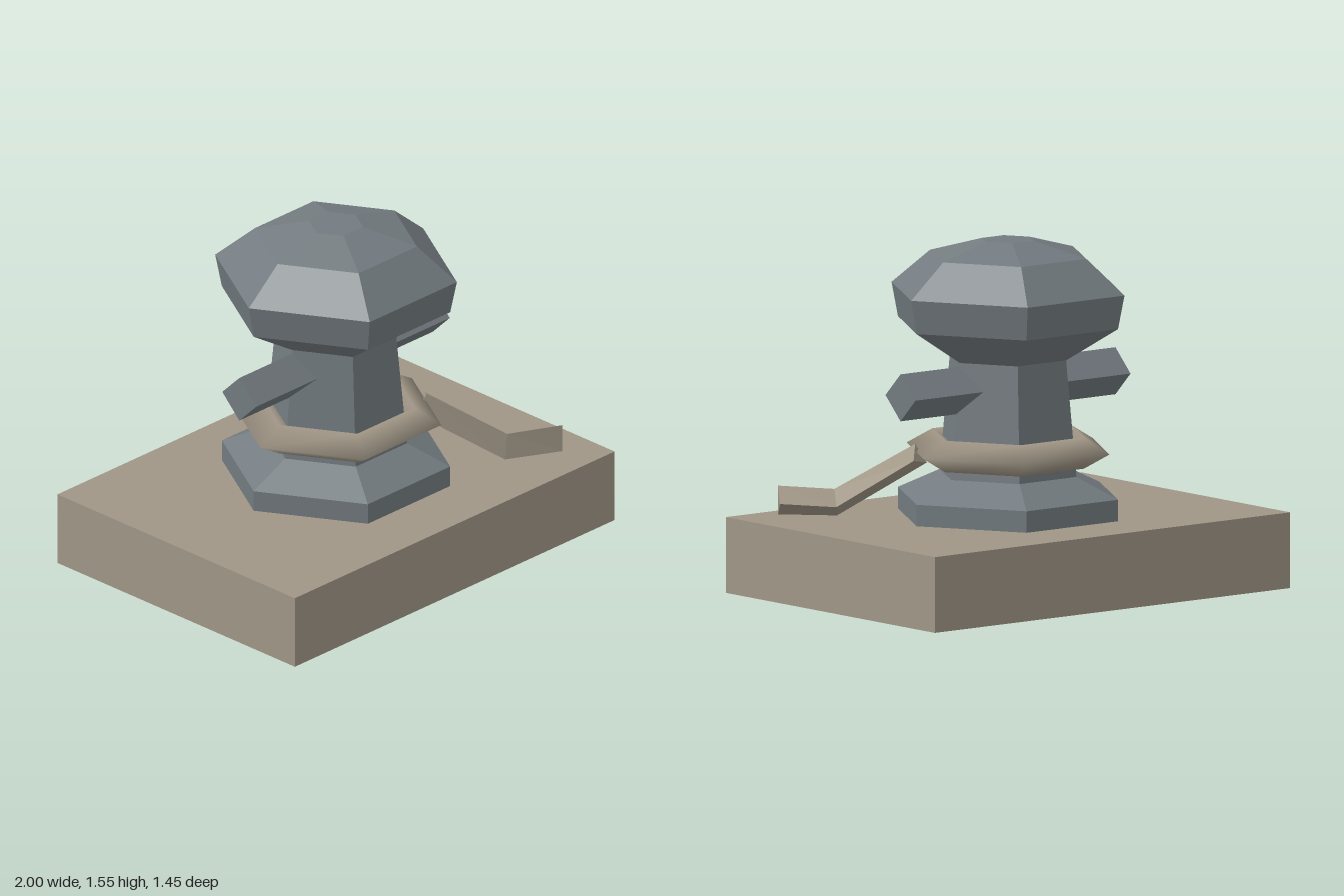
import * as THREE from 'three';

// Split shared corners so every face is flat
function flat(geometry) {
  const g = geometry.index ? geometry.toNonIndexed() : geometry;
  g.computeVertexNormals();
  return g;
}

// Prism through a list of matching cross-sections, closed at both ends
function loft(sections) {
  const n = sections[0].length;
  const index = [];
  for (let i = 0; i < sections.length - 1; i++) {
    for (let j = 0; j < n; j++) {
      const k = (j + 1) % n;
      const a = i * n + j, b = i * n + k;
      index.push(a, b, b + n, a, b + n, a + n);
    }
  }
  const last = (sections.length - 1) * n;
  for (let j = 1; j < n - 1; j++) {
    index.push(last, last + j, last + j + 1, 0, j + 1, j);
  }
  const g = new THREE.BufferGeometry();
  g.setAttribute('position', new THREE.Float32BufferAttribute(sections.flat(2), 3));
  g.setIndex(index);
  return flat(g);
}

export function createModel() {
  const model = new THREE.Group();
  model.name = 'mooringBollard';

  const stone = new THREE.MeshStandardMaterial({ color: 0xa09686, side: THREE.DoubleSide });
  stone.name = 'warm stone';
  const iron = new THREE.MeshStandardMaterial({ color: 0x737b80 });
  iron.name = 'blue grey iron';

  const add = (name, geometry, material) => {
    const mesh = new THREE.Mesh(geometry, material);
    mesh.name = name;
    model.add(mesh);
    return mesh;
  };

  // Plinth: hollow slab, open underneath
  const slab = new THREE.BoxGeometry(2, 0.335, 1.45);
  slab.setIndex(Array.from(slab.index.array).filter((_, i) => i < 18 || i >= 24));
  slab.clearGroups();
  add('plinth', slab, stone).position.y = 0.1675;

  // Six-sided post with flared foot and mushroom cap
  const profile = [
    [0.515, 0.335], [0.515, 0.43], [0.32, 0.52], [0.272, 1.033],
    [0.515, 1.185], [0.545, 1.335], [0.365, 1.487], [0.122, 1.553], [0, 1.553],
  ].map(([r, y]) => new THREE.Vector2(r, y));
  add('post', flat(new THREE.LatheGeometry(profile, 6, Math.PI / 2)), iron);

  // Square crossbar set on its edge
  const bar = new THREE.BoxGeometry(1.21, 0.147, 0.147);
  bar.rotateX(Math.PI / 4);
  add('crossbar', bar, iron).position.y = 0.912;

  // Rope loop around the post: six sides, diamond section
  const loop = new THREE.TorusGeometry(0.355, 0.12, 4, 6);
  loop.rotateX(Math.PI / 2);
  loop.scale(1, 0.58, 1);
  add('ropeLoop', loop, stone).position.y = 0.628;

  // Loose rope end: triangular section falling to the plinth
  add('ropeEnd', loft([
    [[0.36, 0.66, 0.2], [0.31, 0.575, 0.18], [0.45, 0.605, 0.1]],
    [[0.62, 0.457, 0.44], [0.605, 0.338, 0.44], [0.69, 0.395, 0.34]],
    [[0.825, 0.475, 0.578], [0.825, 0.348, 0.578], [0.885, 0.41, 0.49]],
  ]), stone);

  return model;
}
